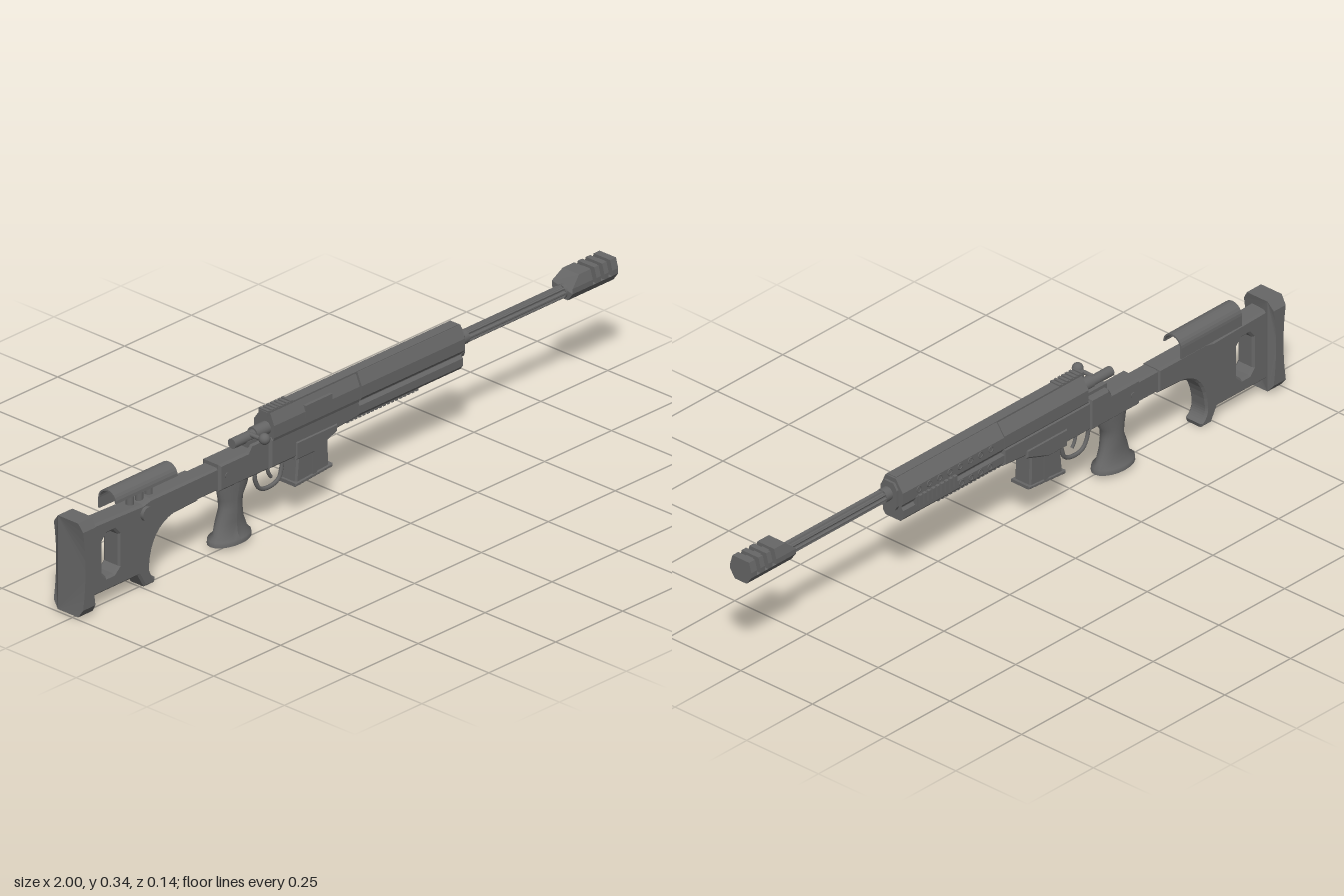
import * as THREE from 'three';

const ZC = -0.015; // centre plane of the stock and magazine

export function createModel() {
  const model = new THREE.Group();
  const gunmetal = new THREE.MeshStandardMaterial({ color: 0x666666 });
  gunmetal.name = 'gunmetal grey';

  const add = (name, geo) => {
    const m = new THREE.Mesh(geo, gunmetal);
    m.name = name;
    model.add(m);
    return m;
  };
  const toShape = (pts) => new THREE.Shape(pts.map(([x, y]) => new THREE.Vector2(x, y)));

  // Side profile (x, y) given thickness from z0 to z1 with bevelled edges
  const side = (name, shape, z0, z1, bevel = 0.006) => {
    const s = Array.isArray(shape) ? toShape(shape) : shape;
    const g = new THREE.ExtrudeGeometry(s, {
      depth: z1 - z0 - 2 * bevel, bevelEnabled: bevel > 0, bevelThickness: bevel,
      bevelSize: bevel, bevelOffset: -bevel, bevelSegments: 1, curveSegments: 8,
    });
    return add(name, g.translate(0, 0, z0 + bevel));
  };
  // Cross-section (z, y) run along x
  const alongGeo = (pts, x0, x1) =>
    new THREE.ExtrudeGeometry(toShape(pts.map(([z, y]) => [-z, y])), { depth: x1 - x0, bevelEnabled: false })
      .rotateY(Math.PI / 2).translate(x0, 0, 0);
  const along = (name, pts, x0, x1) => add(name, alongGeo(pts, x0, x1));
  const box = (name, x0, x1, y0, y1, z0, z1) =>
    add(name, new THREE.BoxGeometry(x1 - x0, y1 - y0, z1 - z0)
      .translate((x0 + x1) / 2, (y0 + y1) / 2, (z0 + z1) / 2));
  // Cylinder centred at p, lying along the named axis
  const rod = (name, axis, r, len, p, sides = 20, r2 = r) => {
    const g = new THREE.CylinderGeometry(r2, r, len, sides);
    if (axis === 'x') g.rotateZ(-Math.PI / 2);
    if (axis === 'z') g.rotateX(Math.PI / 2);
    return add(name, g.translate(...p));
  };

  // Butt pad: chamfered slab, waisted in the middle
  const padRight = [];
  const padLeft = [];
  for (let i = 0; i <= 8; i++) {
    const y = 0.034 + (0.222 * i) / 8;
    padRight.push([-0.07, y]);
    padLeft.unshift([0.034, y]);
  }
  const pad = alongGeo([[-0.052, 0.012], ...padRight, [-0.052, 0.28], [0.02, 0.28], ...padLeft, [0.02, 0.012]], -1, -0.946);
  const pp = pad.attributes.position;
  for (let i = 0; i < pp.count; i++) {
    const t = (pp.getY(i) - 0.146) / 0.134;
    const waist = 0.013 * Math.max(0, 1 - t * t);
    pp.setX(i, pp.getX(i) + (pp.getX(i) < -0.97 ? waist : -waist));
  }
  pad.computeVertexNormals();
  add('buttPad', pad);

  // Skeleton stock with rear hook and window
  const stock = new THREE.Shape();
  stock.moveTo(-0.965, 0.045);
  stock.lineTo(-0.765, 0.045);
  stock.lineTo(-0.742, 0.005);
  stock.lineTo(-0.705, 0.005);
  stock.lineTo(-0.7, 0.018);
  stock.quadraticCurveTo(-0.725, 0.03, -0.722, 0.06);
  stock.quadraticCurveTo(-0.715, 0.16, -0.63, 0.176);
  stock.lineTo(-0.54, 0.18);
  stock.lineTo(-0.54, 0.25);
  stock.lineTo(-0.72, 0.25);
  stock.lineTo(-0.75, 0.243);
  stock.lineTo(-0.965, 0.25);
  const win = [[-0.9, 0.1], [-0.885, 0.084], [-0.858, 0.084], [-0.84, 0.1],
    [-0.84, 0.19], [-0.855, 0.208], [-0.885, 0.208], [-0.9, 0.19]];
  stock.holes.push(new THREE.Path(win.map(([x, y]) => new THREE.Vector2(x, y))));
  side('stock', stock, -0.045, 0.013);
  rod('stockKnob', 'z', 0.02, 0.014, [-0.74, 0.216, 0.016]);

  // Cheek rest: curved shell on posts, hanging lower at the back
  const arch = (rz, ry) => Array.from({ length: 13 }, (_, i) => {
    const a = (Math.PI * i) / 12;
    return [-0.019 + rz * Math.cos(a), 0.28 + ry * Math.sin(a)];
  });
  along('cheekRest', [...arch(0.032, 0.031), [-0.051, 0.25], [-0.046, 0.25], ...arch(0.027, 0.026).reverse()], -0.85, -0.62);
  for (const x of [-0.77, -0.735, -0.7]) rod('cheekPost', 'y', 0.011, 0.06, [x, 0.27, ZC], 12);

  // Stock neck and hinge block
  side('stockNeck', [[-0.55, 0.182], [-0.46, 0.182], [-0.46, 0.247], [-0.55, 0.247]], -0.041, 0.01, 0.005);
  side('hingeBlock', [[-0.468, 0.18], [-0.28, 0.18], [-0.28, 0.275], [-0.35, 0.275], [-0.362, 0.257], [-0.468, 0.257]], -0.047, 0.017, 0.006);
  for (const z of [-0.046, 0.016]) rod('hingePin', 'z', 0.008, 0.006, [-0.44, 0.22, z], 12);

  // Pistol grip: each row is y, x centre, half length, half width
  const rows = [[0.19, -0.39, 0.056, 0.026], [0.165, -0.392, 0.053, 0.026], [0.135, -0.398, 0.04, 0.025],
    [0.11, -0.398, 0.036, 0.026], [0.075, -0.402, 0.046, 0.027], [0.04, -0.4, 0.058, 0.029],
    [0.03, -0.402, 0.07, 0.042], [0.016, -0.402, 0.071, 0.043]];
  const grip = new THREE.CylinderGeometry(1, 1, 1, 20, rows.length - 1);
  const gp = grip.attributes.position;
  for (let i = 0; i < gp.count; i++) {
    const [y, cx, hx, hz] = rows[Math.round((0.5 - gp.getY(i)) * (rows.length - 1))];
    gp.setXYZ(i, cx + hx * gp.getX(i), y, -0.012 + hz * gp.getZ(i));
  }
  grip.computeVertexNormals();
  add('pistolGrip', grip);

  // Trigger guard and trigger
  const V = (x, y) => new THREE.Vector3(x, y, ZC);
  add('triggerGuard', new THREE.TubeGeometry(new THREE.CatmullRomCurve3([V(-0.302, 0.19), V(-0.303, 0.15),
    V(-0.285, 0.117), V(-0.25, 0.109), V(-0.215, 0.12), V(-0.203, 0.15), V(-0.2, 0.19)]), 28, 0.006, 6));
  add('trigger', new THREE.TubeGeometry(new THREE.QuadraticBezierCurve3(V(-0.255, 0.19), V(-0.262, 0.155), V(-0.242, 0.135)), 8, 0.005, 6));

  // Magazine with floor plate and ribs
  side('magazine', [[-0.18, 0.1], [-0.055, 0.11], [-0.058, 0.215], [-0.17, 0.2]], -0.042, 0.014, 0.005);
  side('magazinePlate', [[-0.186, 0.096], [-0.046, 0.107], [-0.046, 0.116], [-0.186, 0.106]], -0.046, 0.019, 0.002);
  for (const z of [-0.043, 0.015]) box('magazineRib', -0.12, -0.105, 0.11, 0.19, z - 0.003, z + 0.003);

  // Chassis under the receiver
  side('chassis', [[-0.285, 0.183], [-0.125, 0.183], [-0.035, 0.21], [0.05, 0.217], [0.05, 0.27], [-0.285, 0.27]], -0.046, 0.024, 0.007);
  side('magazineWell', [[-0.192, 0.176], [-0.12, 0.176], [-0.035, 0.205], [-0.035, 0.23], [-0.192, 0.23]], -0.049, 0.027, 0.005);

  // Receiver with ejection port frame
  const upper = [[0.022, 0.255], [0.027, 0.27], [0.027, 0.305], [0.013, 0.337],
    [-0.021, 0.337], [-0.044, 0.305], [-0.044, 0.27], [-0.038, 0.255]];
  along('receiver', upper, -0.275, 0.045);
  box('ejectionPortLid', -0.158, -0.058, 0.287, 0.322, 0.005, 0.0285);

  // Handguard: upper shell, groove, lower channel and end cap
  along('handguardUpper', [[0.022, 0.262], [0.029, 0.272], [0.029, 0.305], [0.014, 0.34],
    [-0.022, 0.34], [-0.047, 0.305], [-0.047, 0.272], [-0.04, 0.262]], 0.05, 0.435);
  along('handguardCore', [[0.019, 0.25], [0.019, 0.3], [-0.037, 0.3], [-0.037, 0.25]], 0.04, 0.432);
  along('handguardLower', [[-0.034, 0.217], [0.018, 0.217], [0.027, 0.228], [0.027, 0.25],
    [0.02, 0.258], [-0.036, 0.258], [-0.044, 0.25], [-0.044, 0.228]], 0.045, 0.43);
  along('handguardCap', [[0.018, 0.25], [0.024, 0.262], [0.024, 0.31], [0.012, 0.328],
    [-0.02, 0.328], [-0.032, 0.31], [-0.032, 0.262], [-0.026, 0.25]], 0.43, 0.442);

  // Rails: top ridge with rear teeth, bottom teeth, back side teeth
  box('topRail', -0.285, 0.43, 0.33, 0.342, -0.019, 0.012);
  for (let i = 0; i < 7; i++) box('topRailTooth', -0.283 + i * 0.014, -0.275 + i * 0.014, 0.338, 0.346, -0.02, 0.014);
  box('bottomRail', 0.01, 0.285, 0.212, 0.22, -0.024, 0.01);
  for (let i = 0; i < 18; i++) box('bottomRailTooth', 0.012 + i * 0.0152, 0.021 + i * 0.0152, 0.207, 0.214, -0.027, 0.013);
  box('sideRail', 0.235, 0.385, 0.248, 0.276, -0.05, -0.03);
  for (let i = 0; i < 9; i++) box('sideRailTooth', 0.237 + i * 0.0165, 0.247 + i * 0.0165, 0.246, 0.278, -0.056, -0.046);

  // Round vents on the back face, as raised rims
  const vent = (x, y, z) => add('vent', new THREE.TorusGeometry(0.008, 0.002, 6, 14).translate(x, y, z));
  for (let i = 0; i < 8; i++) vent(0.1 + i * 0.039, 0.293, -0.047);
  for (let i = 0; i < 4; i++) vent(0.1 + i * 0.036, 0.239, -0.044);

  // Bolt with handle and ball knob
  rod('bolt', 'x', 0.014, 0.14, [-0.333, 0.29, -0.002]);
  rod('boltShroud', 'x', 0.018, 0.05, [-0.3, 0.292, -0.002]);
  rod('boltHandle', 'z', 0.006, 0.055, [-0.342, 0.298, 0.024], 10);
  add('boltKnob', new THREE.SphereGeometry(0.0155, 16, 12).translate(-0.342, 0.302, 0.056));
  box('boltGuide', -0.36, -0.28, 0.268, 0.284, -0.03, 0.012);

  // Fluted barrel with plain ends
  const flutes = Array.from({ length: 32 }, (_, i) => {
    const a = (Math.PI * 2 * i) / 32;
    const r = i % 4 < 2 ? 0.0185 : 0.0145;
    return [r * Math.cos(a), 0.292 + r * Math.sin(a)];
  });
  along('flutedBarrel', flutes, 0.44, 0.835);
  rod('barrelCollar', 'x', 0.0195, 0.03, [0.45, 0.292, 0]);
  rod('barrelEnd', 'x', 0.019, 0.15, [0.9, 0.292, 0]);

  // Muzzle brake: sloped rear block, then baffles separated by slots
  const brake = [[0.02, 0.272], [0.037, 0.295], [0.037, 0.31], [0.029, 0.338],
    [-0.029, 0.338], [-0.037, 0.31], [-0.037, 0.295], [-0.02, 0.272]];
  const rear = alongGeo(brake, 0.83, 0.905);
  const rp = rear.attributes.position;
  for (let i = 0; i < rp.count; i++) if (rp.getX(i) < 0.84 && rp.getY(i) > 0.33) rp.setX(i, 0.862);
  rear.computeVertexNormals();
  add('brakeBody', rear);
  for (let i = 0; i < 3; i++) along('brakeBaffle', brake, 0.919 + i * 0.0295, 0.935 + i * 0.0295);
  along('brakeFront', brake, 0.99, 1);
  along('brakeFloor', [[0.02, 0.272], [0.037, 0.295], [-0.037, 0.295], [-0.02, 0.272]], 0.9, 1);
  box('brakeSpine', 0.9, 0.995, 0.3, 0.33, -0.012, 0.012);

  return model;
}
